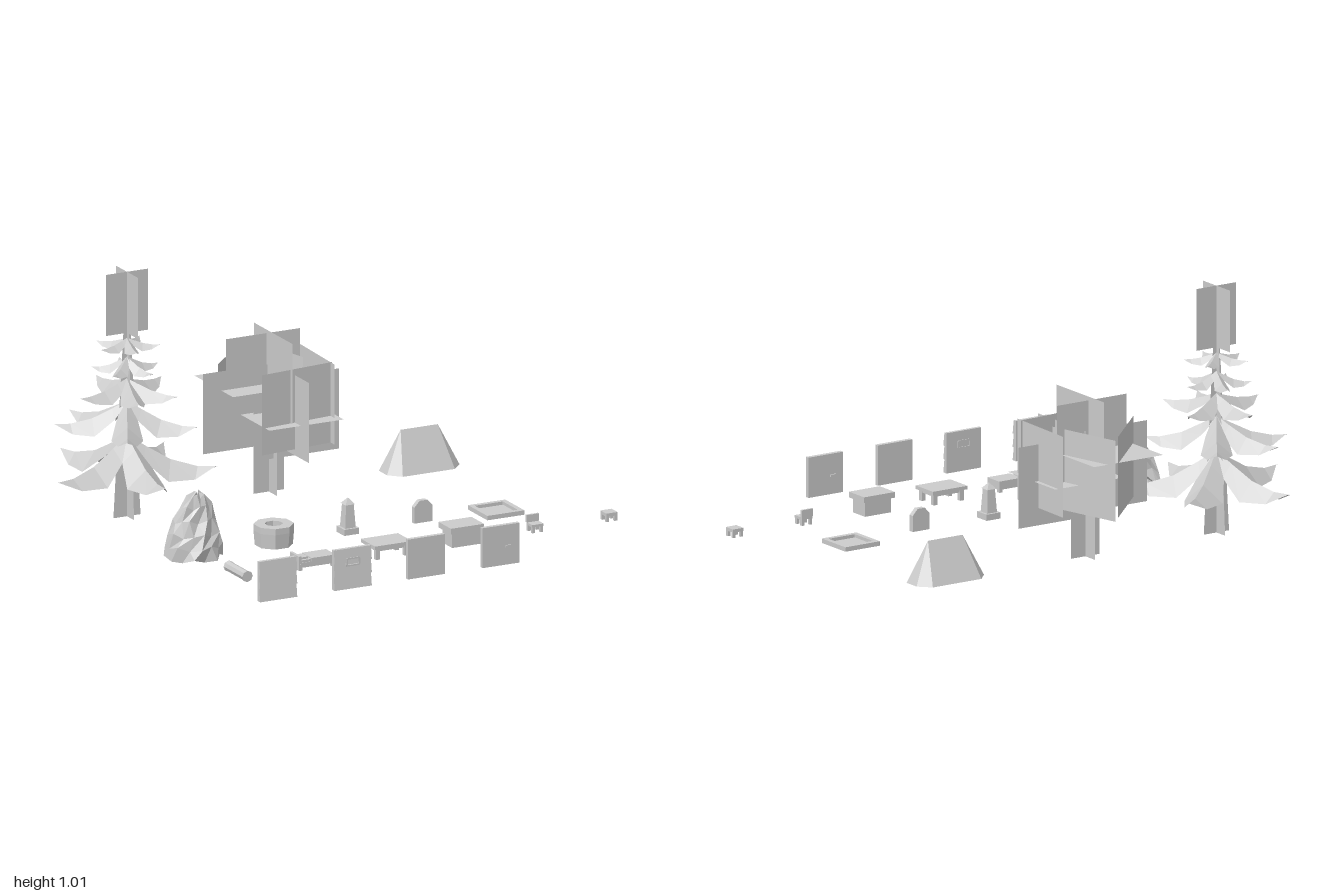
import * as THREE from 'three';

const mat = new THREE.MeshStandardMaterial({ color: 0xcccccc, flatShading: true, side: THREE.DoubleSide });

function add(parent, name, geo, x = 0, y = 0, z = 0, ry = 0) {
  const m = new THREE.Mesh(geo, mat);
  m.name = name;
  m.position.set(x, y, z);
  m.rotation.y = ry;
  parent.add(m);
  return m;
}

function group(parent, name, x = 0, z = 0) {
  const g = new THREE.Group();
  g.name = name;
  g.position.set(x, 0, z);
  parent.add(g);
  return g;
}

// box given by its lower and upper corners
function box(parent, name, x0, x1, y0, y1, z0, z1) {
  return add(parent, name, new THREE.BoxGeometry(x1 - x0, y1 - y0, z1 - z0),
    (x0 + x1) / 2, (y0 + y1) / 2, (z0 + z1) / 2);
}

const vecs = pts => pts.map(p => new THREE.Vector2(...p));

// outline pushed along z, with an optional hole
function slab(points, depth, hole) {
  const s = new THREE.Shape(vecs(points));
  if (hole) s.holes.push(new THREE.Path(vecs(hole)));
  return new THREE.ExtrudeGeometry(s, { depth, bevelEnabled: false });
}

// rectangle outline with cut corners c
const plate = (w, h, c) => [[-w, -h + c], [-w + c, -h], [w - c, -h], [w, -h + c],
  [w, h - c], [w - c, h], [-w + c, h], [-w, h - c]];

// surface through rows of points of equal length
function loft(rows) {
  const n = rows[0].length, index = [];
  for (let i = 0; i < rows.length - 1; i++) {
    for (let j = 0; j < n - 1; j++) {
      const a = i * n + j, b = a + n;
      index.push(a, a + 1, b, a + 1, b + 1, b);
    }
  }
  const geo = new THREE.BufferGeometry();
  geo.setAttribute('position', new THREE.Float32BufferAttribute(rows.flat(2), 3));
  geo.setIndex(index);
  geo.computeVertexNormals();
  return geo;
}

// two crossed upright sheets, tapering from w0 to w1
function crossed(parent, name, w0, w1, y0, y1) {
  const geo = loft([[[-w0 / 2, y0, 0], [w0 / 2, y0, 0]], [[-w1 / 2, y1, 0], [w1 / 2, y1, 0]]]);
  for (const ry of [0, Math.PI / 2]) add(parent, name, geo, 0, 0, 0, ry);
}

function pine(root) {
  const g = group(root, 'pineTree', -0.653, -0.487);
  crossed(g, 'pineTrunk', 0.12, 0.03, 0.01, 0.78);
  crossed(g, 'pineTop', 0.187, 0.187, 0.76, 1.01);
  // radius, centre height, droop, branch angles in degrees
  const layers = [
    [0.355, 0.345, 0.36, [-110, 167, 92, 29, -38]],
    [0.285, 0.485, 0.32, [-56, -115, 203, 117, 40]],
    [0.225, 0.575, 0.2, [172, 105, 55, -25, -95]],
    [0.14, 0.665, 0.32, [-150, -75, 0, 70, 140]],
    [0.13, 0.74, 0.2, [-130, -40, 30, 100, 170]],
  ];
  for (const [r, h, droop, angles] of layers) {
    // along the branch: distance, share of droop, half width
    const rows = [[0, 0, 0.05], [0.2, 0.35, 0.15], [0.48, 0.78, 0.22], [0.78, 1, 0.13], [1, 1, 0.004]].map(([t, d, w]) => {
      const y = h - d * droop * r;
      return [[t * r * 0.97, y - w * r * 0.9, w * r], [t * r, y, 0], [t * r * 0.97, y - w * r * 0.9, -w * r]];
    });
    for (const a of angles) add(g, 'pineBranch', loft(rows), 0, 0, 0, -a * Math.PI / 180);
  }
}

function leafyTree(root) {
  const g = group(root, 'leafyTree');
  const trunk = group(g, 'leafyTrunk', -0.015, -0.51);
  crossed(trunk, 'trunkSheet', 0.135, 0.135, 0.015, 0.45);
  const sheet = new THREE.PlaneGeometry(0.328, 0.328);
  const q = Math.PI / 2;
  // upright leaf sheets: x, y, z, turn
  const upright = [
    [-0.025, 0.49, -0.54, 0], [-0.13, 0.365, -0.53, 0], [0.11, 0.325, -0.47, 0],
    [0.02, 0.395, -0.338, 0.1], [-0.11, 0.395, -0.652, q / 2],
    [-0.01, 0.505, -0.483, q], [0.01, 0.37, -0.383, q], [0.18, 0.395, -0.483, q - 0.03],
    [0.08, 0.39, -0.638, q + 0.25],
  ];
  for (const [x, y, z, ry] of upright) add(g, 'leafSheet', sheet, x, y, z, ry);
  for (const [x, y, z] of [[-0.05, 0.45, -0.595], [0.035, 0.34, -0.45]]) {
    add(g, 'flatLeafSheet', sheet, x, y, z).rotation.x = -q;
  }
}

// open-bottomed tent with a straight ridge and chamfered corners
function tent(root) {
  const foot = [[0.16, 0.035], [0.115, 0.082], [-0.115, 0.082], [-0.16, 0.035],
    [-0.16, -0.035], [-0.115, -0.082], [0.115, -0.082], [0.16, -0.035], [0.16, 0.035]];
  const low = foot.map(([x, z]) => [x, 0.022, z]);
  const top = foot.map(([x]) => [Math.sign(x) * 0.082, 0.188, 0]);
  add(root, 'tent', loft([low, top]), 0.645, 0, -0.503);
}

// craggy rock shell, open at the back
function rock(root) {
  // height, half width, front depth, back edge z
  const rings = [[0.012, 0.122, 0.125, 0.08], [0.06, 0.118, 0.125, 0.08], [0.11, 0.108, 0.105, 0.085],
    [0.165, 0.092, 0.07, 0.1], [0.22, 0.07, 0.045, 0.11], [0.262, 0.04, 0.028, 0.115], [0.275, 0.008, 0.01, 0.122]];
  const n = 8;
  const rows = rings.map(([y, w, d, z], i) => Array.from({ length: n + 1 }, (_, j) => {
    // every second ring is turned by half a step to break up the facets
    const a = Math.PI * (j + (i % 2 && j > 0 && j < n ? 0.4 : 0)) / n;
    const k = 1 + 0.1 * Math.sin(j * 2.7 + i * 4.3) * Math.sin(a);
    return [Math.cos(a) * w * k, y + 0.01 * Math.sin(j * 4.1 + i * 2.3), z + Math.sin(a) * d * k];
  }));
  add(root, 'rock', loft(rows), -0.665);
}

function well(root) {
  const wall = new THREE.LatheGeometry(vecs([[0.036, 0.025], [0.075, 0.025], [0.08, 0.085], [0.08, 0.11],
    [0.036, 0.11], [0.036, 0.025]]), 8, Math.PI / 8);
  add(root, 'well', wall, -0.34, 0, 0.155);
}

function pillar(root) {
  const g = group(root, 'pillar', -0.012, 0.153);
  box(g, 'pillarBase', -0.033, 0.033, 0.025, 0.05, -0.033, 0.033);
  const square = (r0, r1, h) => new THREE.CylinderGeometry(r0 * Math.SQRT2, r1 * Math.SQRT2, h, 4, 1);
  add(g, 'pillarShaft', square(0.017, 0.023, 0.095), 0, 0.0975, 0, Math.PI / 4);
  add(g, 'pillarCap', square(0, 0.021, 0.025), 0, 0.157, 0, Math.PI / 4);
}

function headstone(root) {
  const outline = [[-0.04, 0.025], [0.04, 0.025], [0.04, 0.09], [0.017, 0.115], [-0.017, 0.115], [-0.04, 0.09]];
  add(root, 'headstone', slab(outline, 0.022), 0.315, 0, 0.144);
}

function floorTile(root) {
  const g = group(root, 'floorTile', 0.643, 0.153);
  box(g, 'tileSlab', -0.07, 0.07, 0.018, 0.022, -0.07, 0.07);
  add(g, 'tileRim', slab(plate(0.082, 0.082, 0.001), 0.018, plate(0.062, 0.062, 0.001)), 0, 0.017, 0)
    .rotation.x = -Math.PI / 2;
}

function legs(g, x, z, size, y0, y1) {
  for (const sx of [-1, 1]) for (const sz of [-1, 1]) {
    add(g, 'leg', new THREE.BoxGeometry(size, y1 - y0, size), sx * (x - size / 2), (y0 + y1) / 2, sz * (z - size / 2));
  }
}

function furniture(root) {
  // lying log, slightly waisted
  const log = new THREE.LatheGeometry(vecs([[0, -0.08], [0.023, -0.08], [0.0205, -0.06], [0.0205, 0.06], [0.023, 0.08], [0, 0.08]]), 8);
  add(root, 'log', log, -0.667, 0.048, 0.48).rotation.x = Math.PI / 2;

  const bed = group(root, 'bed', -0.34, 0.482);
  legs(bed, 0.08, 0.04, 0.016, 0.025, 0.05);
  box(bed, 'bedFrame', -0.08, 0.08, 0.036, 0.056, -0.038, 0.038);
  box(bed, 'mattress', -0.068, 0.076, 0.056, 0.066, -0.036, 0.036);
  box(bed, 'blanket', -0.025, 0.081, 0.04, 0.071, -0.041, 0.041);
  box(bed, 'pillow', -0.062, -0.032, 0.066, 0.074, -0.024, 0.024);
  box(bed, 'headboard', -0.08, -0.068, 0.036, 0.083, -0.038, 0.038);

  const table = group(root, 'table', -0.012, 0.48);
  box(table, 'tableTop', -0.082, 0.082, 0.07, 0.084, -0.06, 0.06);
  box(table, 'tableApron', -0.068, 0.068, 0.058, 0.07, -0.046, 0.046);
  legs(table, 0.072, 0.05, 0.018, 0.025, 0.07);

  const chest = group(root, 'chest', 0.317, 0.482);
  box(chest, 'chestBody', -0.062, 0.062, 0.025, 0.085, -0.042, 0.042);
  box(chest, 'chestLid', -0.073, 0.073, 0.085, 0.108, -0.053, 0.053);

  const chair = group(root, 'chair', 0.643, 0.48);
  box(chair, 'chairSeat', -0.025, 0.025, 0.052, 0.062, -0.025, 0.025);
  box(chair, 'chairBack', -0.027, 0.027, 0.062, 0.092, -0.027, -0.017);
  legs(chair, 0.024, 0.024, 0.012, 0.028, 0.052);

  const stool = group(root, 'stool', 0.97, 0.48);
  box(stool, 'stoolSeat', -0.025, 0.025, 0.05, 0.063, -0.025, 0.025);
  legs(stool, 0.024, 0.024, 0.012, 0.028, 0.05);
}

function walls(root) {
  // upright panel, faced with overlapping boards where asked
  const wall = (name, x, boards) => {
    const g = group(root, name, x, 0.81);
    box(g, 'wallPanel', -0.082, 0.082, 0.025, 0.188, -0.009, boards ? 0.004 : 0.009);
    for (let i = 0; i < boards; i++) {
      const y = 0.025 + i * 0.0543;
      const side = [[0, y], [-0.014, y], [-0.006, y + 0.0543], [0, y + 0.0543]];
      add(g, 'board', slab(side, 0.164), -0.082, 0, 0, Math.PI / 2);
    }
    return g;
  };
  wall('boardWall', -0.667, 3);
  const win = wall('windowWall', -0.338, 3);
  add(win, 'windowFrame', slab(plate(0.031, 0.017, 0.005), 0.026, plate(0.024, 0.011, 0.002)), 0, 0.134, -0.012);
  wall('plainWall', -0.012, 0);
  const door = wall('doorWall', 0.317, 0);
  box(door, 'doorHandle', -0.045, -0.02, 0.095, 0.105, -0.016, -0.008);
  box(door, 'doorHandle', 0.02, 0.04, 0.095, 0.105, 0.008, 0.014);
}

export function createModel() {
  const root = new THREE.Group();
  root.name = 'campScene';
  for (const build of [pine, leafyTree, tent, rock, well, pillar, headstone, floorTile, furniture, walls]) build(root);
  return root;
}
